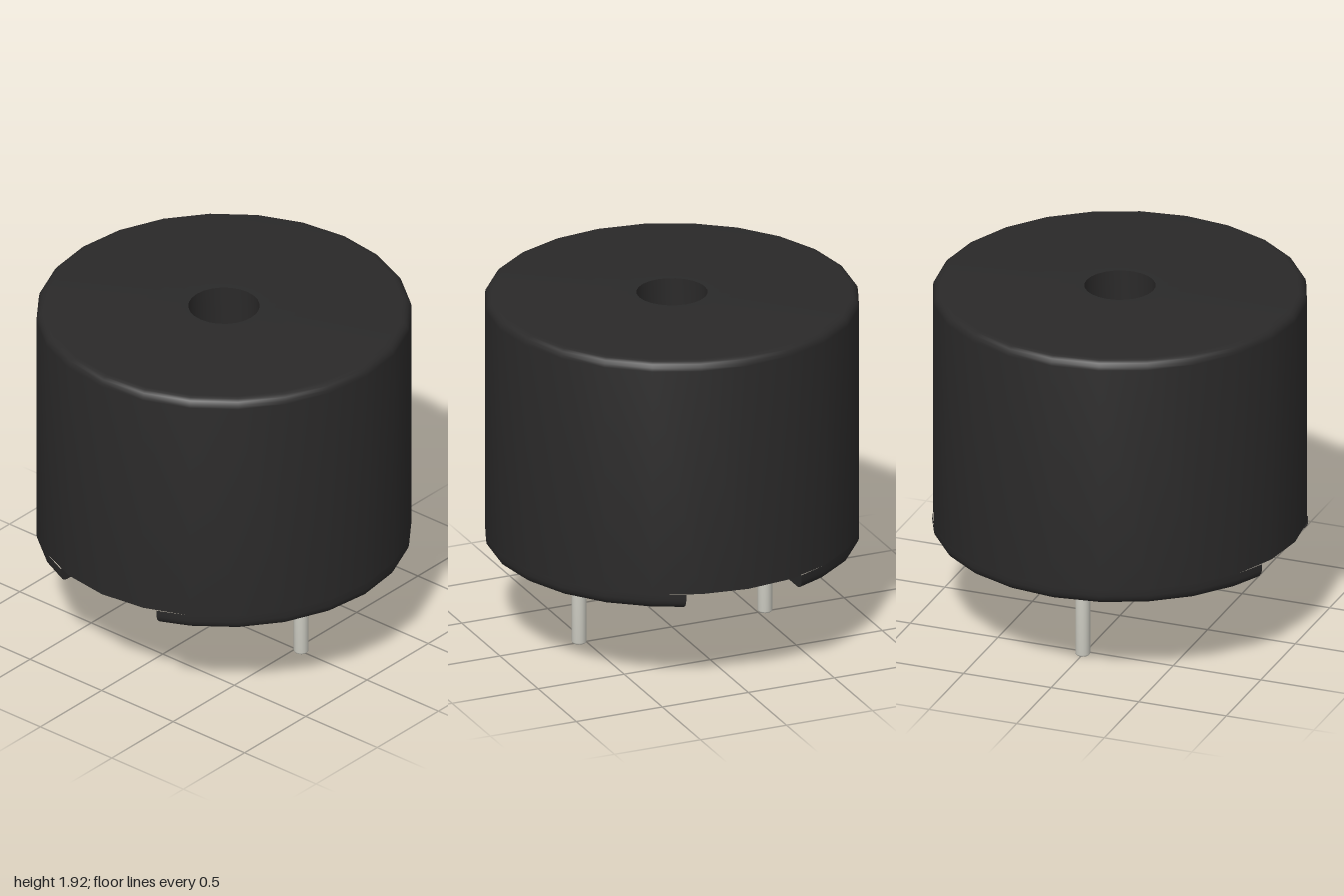
import * as THREE from 'three';
import { toCreasedNormals } from 'three/addons/utils/BufferGeometryUtils.js';

const SIDES = 24, TOP = 1.925, CEILING = 0.595, BOTTOM = 0.51;
const FILLET = 0.05, GROOVE = 0.335, CREASE = 0.6;

// Quarter-round of [radius, height offset] steps from the outer wall inwards
function fillet(radius, size, steps) {
  return Array.from({ length: steps + 1 }, (_, i) => {
    const a = (i / steps) * Math.PI / 2;
    return [radius - size + size * Math.cos(a), size * Math.sin(a)];
  });
}

function lathe(points, sides) {
  const profile = points.map(([r, y]) => new THREE.Vector2(r, y));
  return toCreasedNormals(new THREE.LatheGeometry(profile, sides), CREASE);
}

// D-shaped foot: stacked circle segments cut flat at the groove wall
function footGeometry() {
  const levels = fillet(1, FILLET, 4).reverse().map(([r, h]) => [r, BOTTOM + FILLET - h]);
  levels.push([1, CEILING]);
  const positions = [], index = [];
  let count = 0;
  for (const [r, y] of levels) {
    const end = Math.acos(GROOVE / r);
    const angles = [-end];
    for (let k = -4; k <= 4; k++) angles.push(k * Math.PI * 2 / SIDES);
    angles.push(end);
    count = angles.length;
    for (const a of angles) positions.push(r * Math.cos(a), y, r * Math.sin(a));
  }
  for (let j = 0; j < levels.length - 1; j++) {
    for (let i = 0; i < count; i++) {
      const n = (i + 1) % count;
      const a = j * count + i, b = j * count + n;
      const c = b + count, d = a + count;
      index.push(a, c, b, a, d, c);
    }
  }
  for (let i = 1; i < count - 1; i++) index.push(0, i, i + 1);
  const geometry = new THREE.BufferGeometry();
  geometry.setAttribute('position', new THREE.Float32BufferAttribute(positions, 3));
  geometry.setIndex(index);
  return toCreasedNormals(geometry, CREASE);
}

export function createModel() {
  const model = new THREE.Group();
  const black = new THREE.MeshStandardMaterial({ color: 0x2a2929 });
  const metal = new THREE.MeshStandardMaterial({ color: 0xd2d1c7 });

  function add(name, geometry, material) {
    const mesh = new THREE.Mesh(geometry, material);
    mesh.name = name;
    model.add(mesh);
    return mesh;
  }

  // Round housing with a rounded rim and a sound hole in the top
  const holeRadius = 0.19, holeFloor = 1.5;
  add('housing', lathe([
    [0, CEILING], [1, CEILING],
    ...fillet(1, FILLET, 4).map(([r, h]) => [r, TOP - FILLET + h]),
    [holeRadius, TOP], [holeRadius, holeFloor], [0, holeFloor],
  ], SIDES), black);

  // Feet either side of the groove, and one pin under each
  const foot = footGeometry();
  const pinRadius = 0.04, pinFillet = 0.012;
  const pin = lathe([
    [0, 0],
    ...fillet(pinRadius, pinFillet, 3).reverse().map(([r, h]) => [r, pinFillet - h]),
    [pinRadius, BOTTOM + 0.02],
  ], 16);
  for (const [side, s] of [['left', 1], ['right', -1]]) {
    add(side + 'Foot', foot, black).rotation.y = s > 0 ? 0 : Math.PI;
    add(side + 'Pin', pin, metal).position.x = s * 0.54;
  }
  return model;
}
